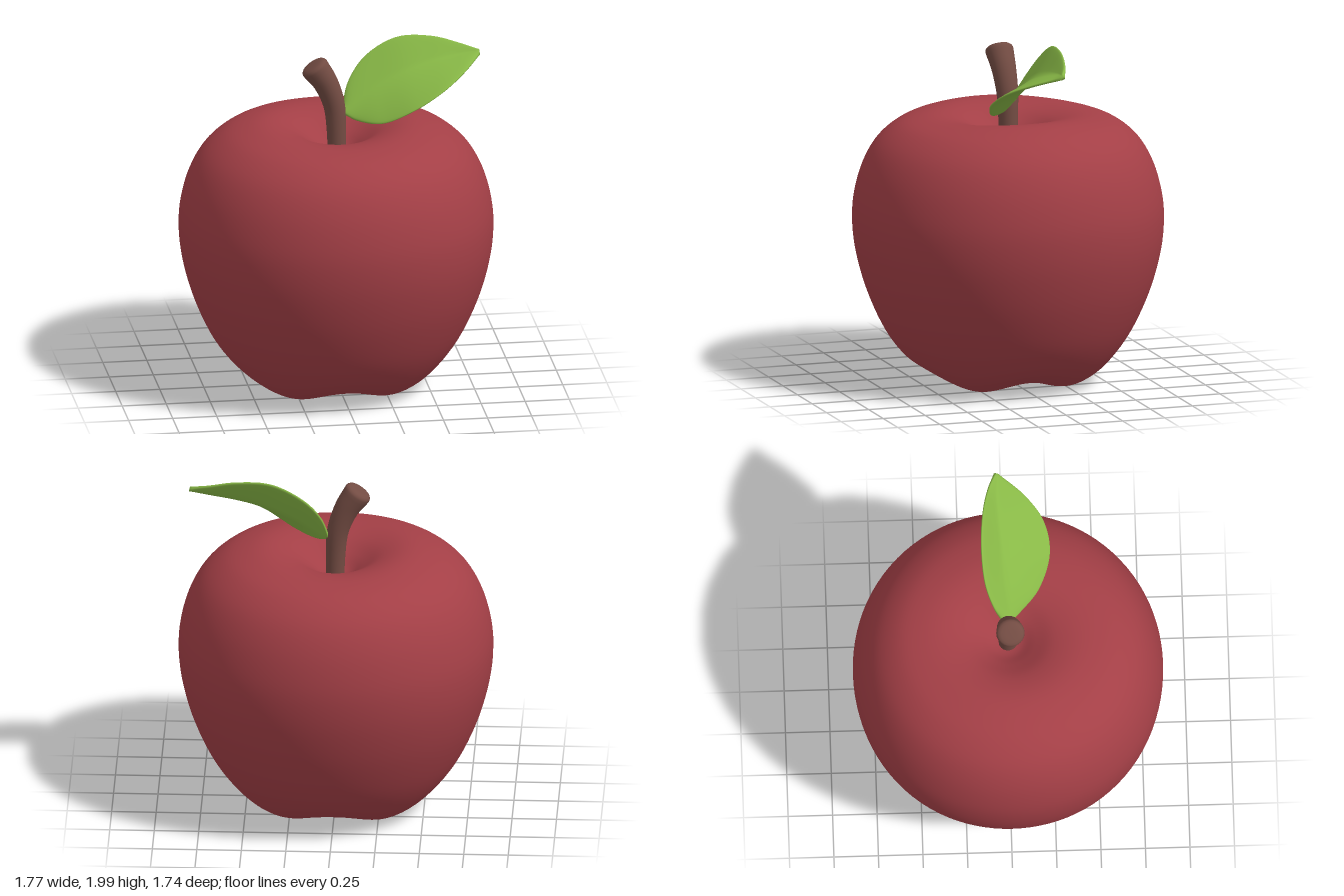
import * as THREE from 'three';
import { mergeVertices } from 'three/addons/utils/BufferGeometryUtils.js';

const V = (x, y, z) => new THREE.Vector3(x, y, z);
const bump = (v, centre, width) => Math.exp(-(((v - centre) / width) ** 2));

// Smooth skin over a list of closed rings with equal point counts
function loft(rings) {
  const n = rings[0].length, index = [];
  for (let i = 0; i < rings.length - 1; i++) {
    for (let j = 0; j < n; j++) {
      const a = i * n + j, b = i * n + (j + 1) % n;
      index.push(a, b, b + n, a, b + n, a + n);
    }
  }
  const g = new THREE.BufferGeometry().setFromPoints(rings.flat());
  g.setIndex(index);
  const merged = mergeVertices(g, 1e-5);
  merged.computeVertexNormals();
  return merged;
}

// Fruit: turned profile with a four-lobed base and a slightly uneven rim
function fruitGeometry() {
  const profile = new THREE.SplineCurve([
    [0, 0.2], [0.07, 0.18], [0.15, 0.11], [0.24, 0.047], [0.34, 0.027], [0.46, 0.058],
    [0.58, 0.14], [0.7, 0.3], [0.8, 0.52], [0.86, 0.73], [0.883, 0.91], [0.874, 1.07],
    [0.828, 1.24], [0.748, 1.38], [0.63, 1.478], [0.5, 1.523], [0.38, 1.532],
    [0.26, 1.503], [0.16, 1.445], [0.08, 1.392], [0, 1.375],
  ].map(([r, y]) => new THREE.Vector2(r, y)));
  const points = profile.getPoints(100);
  points[0].x = points[100].x = 0;

  let g = new THREE.LatheGeometry(points, 96);
  g.deleteAttribute('uv');
  g.deleteAttribute('normal');
  const p = g.attributes.position;
  for (let i = 0; i < p.count; i++) {
    const x = p.getX(i), y = p.getY(i), z = p.getZ(i);
    const r = Math.hypot(x, z), angle = Math.atan2(z, x);
    const four = Math.cos(4 * angle);
    const lobes = y < 0.75 ? 0.027 * four * bump(r, 0.4, 0.22) : 0;
    const rim = y > 0.9 ? 0.012 * Math.cos(2 * angle) * bump(r, 0.38, 0.2) : 0;
    const swell = 1 + 0.006 * (1 - four) * bump(y, 0.7, 0.5);
    p.setXYZ(i, x * swell, y + lobes + rim, z * swell * 0.986);
  }
  g = mergeVertices(g, 1e-5);
  g.computeVertexNormals();
  return g;
}

// Stem: curved, widening towards a slanted, rounded end
function stemGeometry() {
  const path = new THREE.CatmullRomCurve3([
    V(0.005, 1.32, 0), V(0.002, 1.5, 0), V(-0.012, 1.65, 0), V(-0.06, 1.78, 0.005), V(-0.12, 1.87, 0.01),
  ]);
  const ring = (t, r, lift = 0) => {
    const d = path.getTangent(t), c = path.getPoint(t).addScaledVector(d, lift);
    const side = V(d.y, -d.x, 0).normalize();
    return Array.from({ length: 24 }, (_, j) => {
      const a = (j / 24) * Math.PI * 2;
      return c.clone().addScaledVector(V(0, 0, 1), r * Math.cos(a)).addScaledVector(side, r * Math.sin(a));
    });
  };
  const rings = [];
  for (let i = 0; i <= 20; i++) rings.push(ring(i / 20, 0.052 + 0.028 * (i / 20) ** 1.6));
  rings.push(ring(1, 0.077, 0.012), ring(1, 0.068, 0.021), ring(1, 0.053, 0.026), ring(1, 0.03, 0.028), ring(1, 0, 0.028));
  return loft(rings);
}

// Leaf: blade folded along its midrib, spanned by three curves
function leafGeometry() {
  const curve = (pts) => new THREE.CatmullRomCurve3(pts.map((q) => V(...q)));
  const back = curve([[0.04, 1.62, -0.03], [0.08, 1.75, -0.08], [0.18, 1.88, -0.125], [0.36, 1.98, -0.14],
    [0.56, 1.982, -0.125], [0.72, 1.942, -0.09], [0.82, 1.913, -0.05]]);
  const mid = curve([[0.04, 1.605, 0], [0.1, 1.64, 0], [0.23, 1.725, -0.015], [0.4, 1.805, -0.025],
    [0.56, 1.855, -0.04], [0.7, 1.885, -0.05], [0.82, 1.905, -0.045]]);
  const front = curve([[0.045, 1.59, 0.015], [0.11, 1.568, 0.07], [0.24, 1.58, 0.18], [0.42, 1.675, 0.248],
    [0.58, 1.765, 0.218], [0.71, 1.835, 0.115], [0.82, 1.892, -0.03]]);
  const up = V(-0.25, 0.75, 0.61).normalize();
  const rings = [];
  for (let i = 0; i <= 40; i++) {
    const t = i / 40, b = back.getPoint(t), m = mid.getPoint(t), f = front.getPoint(t);
    const half = b.clone().sub(f).multiplyScalar(0.5);
    const fold = b.clone().add(f).multiplyScalar(0.5).sub(m);
    rings.push(Array.from({ length: 40 }, (_, j) => {
      const a = (j / 40) * Math.PI * 2, u = Math.cos(a), s = Math.sin(a);
      const thick = 0.014 * Math.sign(s) * Math.abs(s) ** 0.6;
      return m.clone().addScaledVector(half, u).addScaledVector(fold, Math.abs(u) ** 1.1).addScaledVector(up, thick);
    }));
  }
  // Close both ends
  const closed = (ring) => {
    const c = ring.reduce((sum, q) => sum.add(q), V(0, 0, 0)).divideScalar(ring.length);
    return ring.map(() => c.clone());
  };
  return loft([closed(rings[0]), ...rings, closed(rings[40])]);
}

export function createModel() {
  const group = new THREE.Group();
  group.name = 'apple';
  const add = (name, geometry, colourName, color) => {
    const material = new THREE.MeshStandardMaterial({ color });
    material.name = colourName;
    const mesh = new THREE.Mesh(geometry, material);
    mesh.name = name;
    group.add(mesh);
  };
  add('fruit', fruitGeometry(), 'apple red', 0xa33f46);
  add('stem', stemGeometry(), 'bark brown', 0x734c43);
  add('leaf', leafGeometry(), 'leaf green', 0x88b846);
  return group;
}
